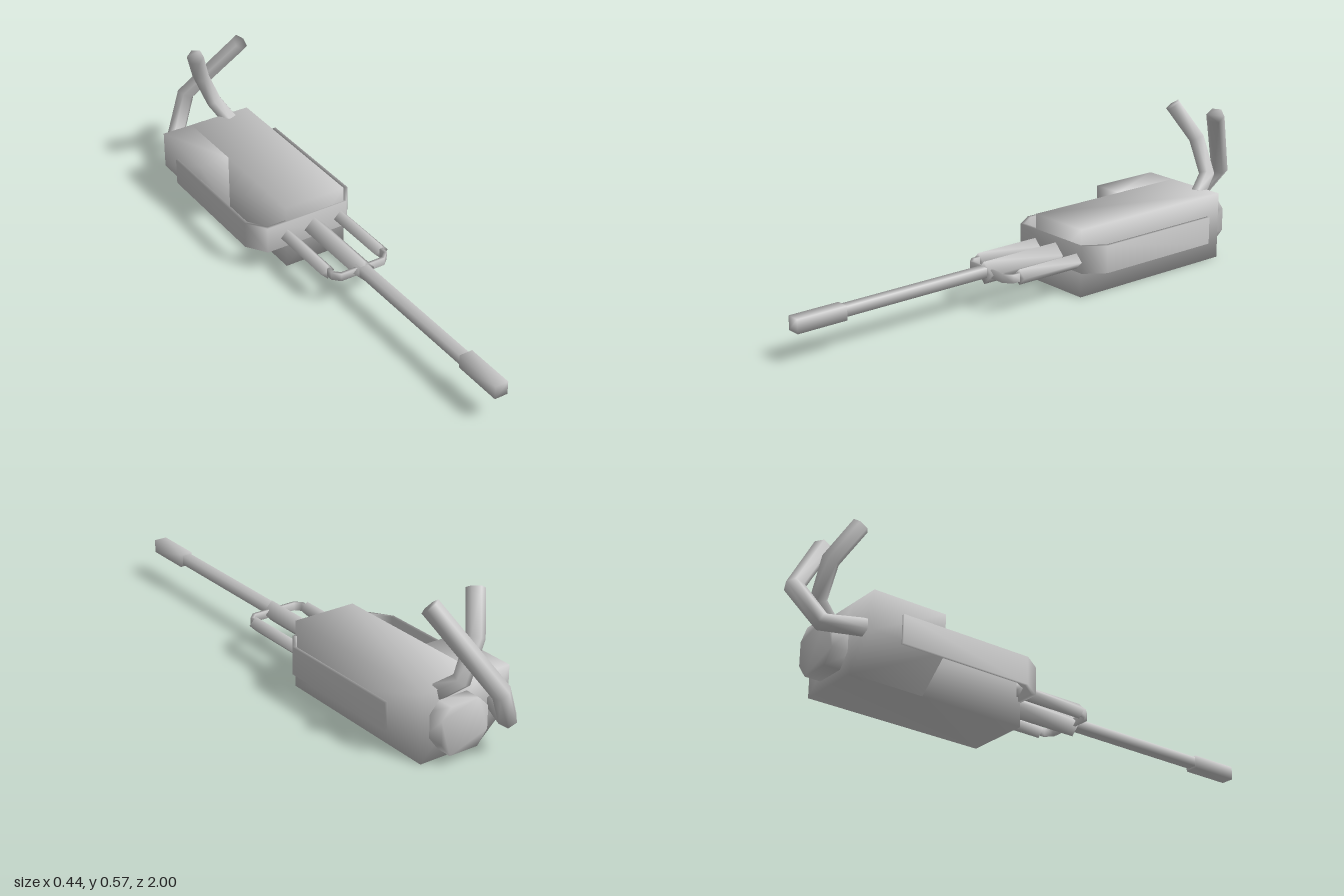
import * as THREE from 'three';
import { mergeVertices, mergeGeometries } from 'three/addons/utils/BufferGeometryUtils.js';

const material = new THREE.MeshStandardMaterial({ color: 0xcccccc, side: THREE.DoubleSide });

// Shared corner normals give the soft shading across the low-poly forms
function smooth(geometry) {
  geometry.deleteAttribute('uv');
  geometry.deleteAttribute('normal');
  const merged = mergeVertices(geometry, 1e-4);
  merged.computeVertexNormals();
  return merged;
}

const vectors = (pts) => pts.map(([x, y]) => new THREE.Vector2(x, y));
const extrude = (pts, depth) =>
  new THREE.ExtrudeGeometry(new THREE.Shape(vectors(pts)), { depth, bevelEnabled: false });

// Upright strip: outer and inner outlines given as [x, z], raised from y0 to y1
function band(outer, inner, y0, y1) {
  const outline = [...outer, ...inner.slice().reverse()].map(([x, z]) => [x, -z]);
  return extrude(outline, y1 - y0).rotateX(-Math.PI / 2).translate(0, y0, 0);
}

// Square bar along z; the diamond form stands on its edge
const bar = (x, y, z0, z1, w, h) =>
  new THREE.BoxGeometry(w, h, z1 - z0).translate(x, y, (z0 + z1) / 2);
const diamond = (x, y, z0, z1, r) =>
  new THREE.CylinderGeometry(r, r, z1 - z0, 4).rotateX(Math.PI / 2).translate(x, y, (z0 + z1) / 2);

// Bent pipe with sharp mitred corners and closed ends
class Polyline extends THREE.Curve {
  constructor(points) {
    super();
    this.points = points.map((p) => new THREE.Vector3(...p));
  }
  getPointAt(u, target = new THREE.Vector3()) {
    return target.copy(this.points[Math.round(u * (this.points.length - 1))]);
  }
  getTangentAt(u, target = new THREE.Vector3()) {
    const p = this.points;
    const i = Math.round(u * (p.length - 1));
    target.set(0, 0, 0);
    if (i > 0) target.add(p[i].clone().sub(p[i - 1]).normalize());
    if (i < p.length - 1) target.add(p[i + 1].clone().sub(p[i]).normalize());
    return target.normalize();
  }
}

function pipe(points, radius, sides = 6) {
  const geometry = new THREE.TubeGeometry(new Polyline(points), points.length - 1, radius, sides);
  const index = Array.from(geometry.index.array);
  const last = (points.length - 1) * (sides + 1);
  for (let i = 1; i < sides - 1; i++) {
    index.push(0, i, i + 1, last, last + i + 1, last + i);
  }
  geometry.setIndex(index);
  return geometry;
}

export function createModel() {
  const group = new THREE.Group();
  const add = (name, geometry) => {
    const mesh = new THREE.Mesh(smooth(geometry), material);
    mesh.name = name;
    group.add(mesh);
  };

  // Housing with a rear side bulge that slopes in underneath
  const main = new THREE.BoxGeometry(0.245, 0.25, 0.685).translate(0.0325, 0.125, -0.4475);
  const bulge = extrude([[-0.09, 0], [-0.09, 0.25], [-0.21, 0.25], [-0.21, 0.108]], 0.28)
    .translate(0, 0, -0.79);
  add('housing', mergeGeometries([main.toNonIndexed(), bulge]));

  // Guard strip wrapping the front and both sides
  add('sideGuard', band(
    [[-0.22, -0.68], [-0.22, -0.175], [-0.17, -0.1], [0.165, -0.1], [0.218, -0.175], [0.218, -0.68]],
    [[-0.208, -0.68], [-0.208, -0.18], [-0.163, -0.113], [0.158, -0.113], [0.205, -0.18], [0.205, -0.68]],
    0.092, 0.194));

  // Barrel group
  add('barrelSleeve', diamond(0.025, 0.132, -0.12, 0.225, 0.041));
  add('barrel', bar(0.022, 0.136, 0.2, 0.82, 0.036, 0.036));
  add('muzzle', bar(0.025, 0.135, 0.81, 1, 0.05, 0.05));
  for (const [name, x] of [['rightRod', -0.087], ['leftRod', 0.138]]) {
    add(name, diamond(x, 0.133, -0.12, 0.162, 0.028));
  }
  add('frontLoop', band(
    [[-0.09, 0.15], [-0.09, 0.19], [-0.065, 0.217], [0.115, 0.217], [0.143, 0.19], [0.143, 0.15]],
    [[-0.078, 0.15], [-0.078, 0.186], [-0.06, 0.206], [0.11, 0.206], [0.131, 0.186], [0.131, 0.15]],
    0.118, 0.148));

  // Rear cover with cut corners
  add('rearCover', extrude([
    [-0.07, 0.085], [-0.03, 0.035], [0.085, 0.035], [0.122, 0.085],
    [0.122, 0.17], [0.085, 0.21], [-0.03, 0.21], [-0.07, 0.17],
  ], 0.08).translate(0, 0, -0.85));

  // Crossed exhaust pipes
  add('outerPipe', pipe([
    [-0.155, 0.14, -0.78], [-0.1, 0.14, -0.91], [-0.015, 0.28, -0.968], [0.13, 0.545, -0.785],
  ], 0.034));
  add('innerPipe', pipe([
    [0.07, 0.23, -0.77], [0.04, 0.29, -0.843], [-0.015, 0.42, -0.838], [-0.073, 0.55, -0.765],
  ], 0.032));

  return group;
}
